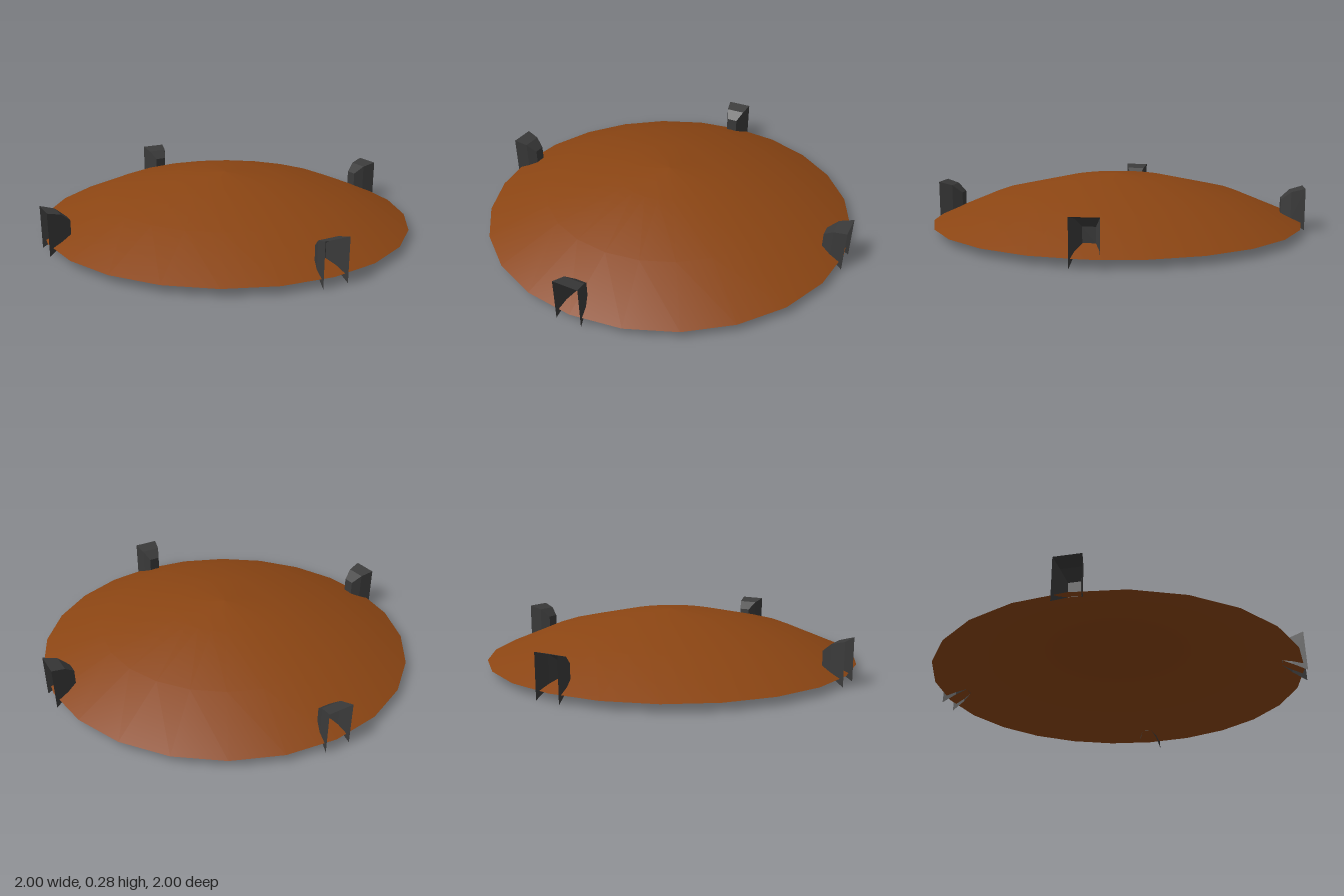
import * as THREE from 'three';

const shellBrown = new THREE.MeshStandardMaterial({ color: 0x8b4513, side: THREE.DoubleSide });
shellBrown.name = 'shellBrown';
const clipGrey = new THREE.MeshStandardMaterial({ color: 0x3a3a3a, side: THREE.DoubleSide, flatShading: true });
clipGrey.name = 'clipGrey';

// Hooded clip, open outward (+z) and downward, from tapering arch sections
function clipGeometry() {
  // each section: z, half width, bottom y, top y
  const sections = [
    [1.0, 0.067, 0.0, 0.22],
    [0.93, 0.053, 0.047, 0.2],
    [0.88, 0.03, 0.083, 0.157],
  ];
  const rings = sections.map(([z, w, y0, y1]) => [[w, y0, z], [w, y1, z], [-w, y1, z], [-w, y0, z]]);
  const pos = [];
  const quad = (a, b, c, d) => pos.push(...a, ...b, ...c, ...a, ...c, ...d);
  // two sides and the roof
  for (let i = 0; i < rings.length - 1; i++) {
    const p = rings[i], q = rings[i + 1];
    for (let j = 0; j < 3; j++) quad(p[j], q[j], q[j + 1], p[j + 1]);
  }
  // inner end wall, facing the centre
  const e = rings[rings.length - 1];
  quad(e[0], e[3], e[2], e[1]);
  const g = new THREE.BufferGeometry();
  g.setAttribute('position', new THREE.Float32BufferAttribute(pos, 3));
  g.computeVertexNormals();
  return g;
}

export function createModel() {
  const model = new THREE.Group();
  model.name = 'shallowDomeWithClips';

  // Hollow shallow dome
  const profile = [[0.99, 0.04], [0.67, 0.172], [0.28, 0.257], [0, 0.28]].map(([r, y]) => new THREE.Vector2(r, y));
  const dome = new THREE.Mesh(new THREE.LatheGeometry(profile, 24), shellBrown);
  dome.name = 'dome';
  model.add(dome);

  // Four clips around the rim
  const geometry = clipGeometry();
  ['frontClip', 'leftClip', 'backClip', 'rightClip'].forEach((name, i) => {
    const clip = new THREE.Mesh(geometry, clipGrey);
    clip.name = name;
    clip.rotation.y = i * Math.PI / 2;
    model.add(clip);
  });
  return model;
}
